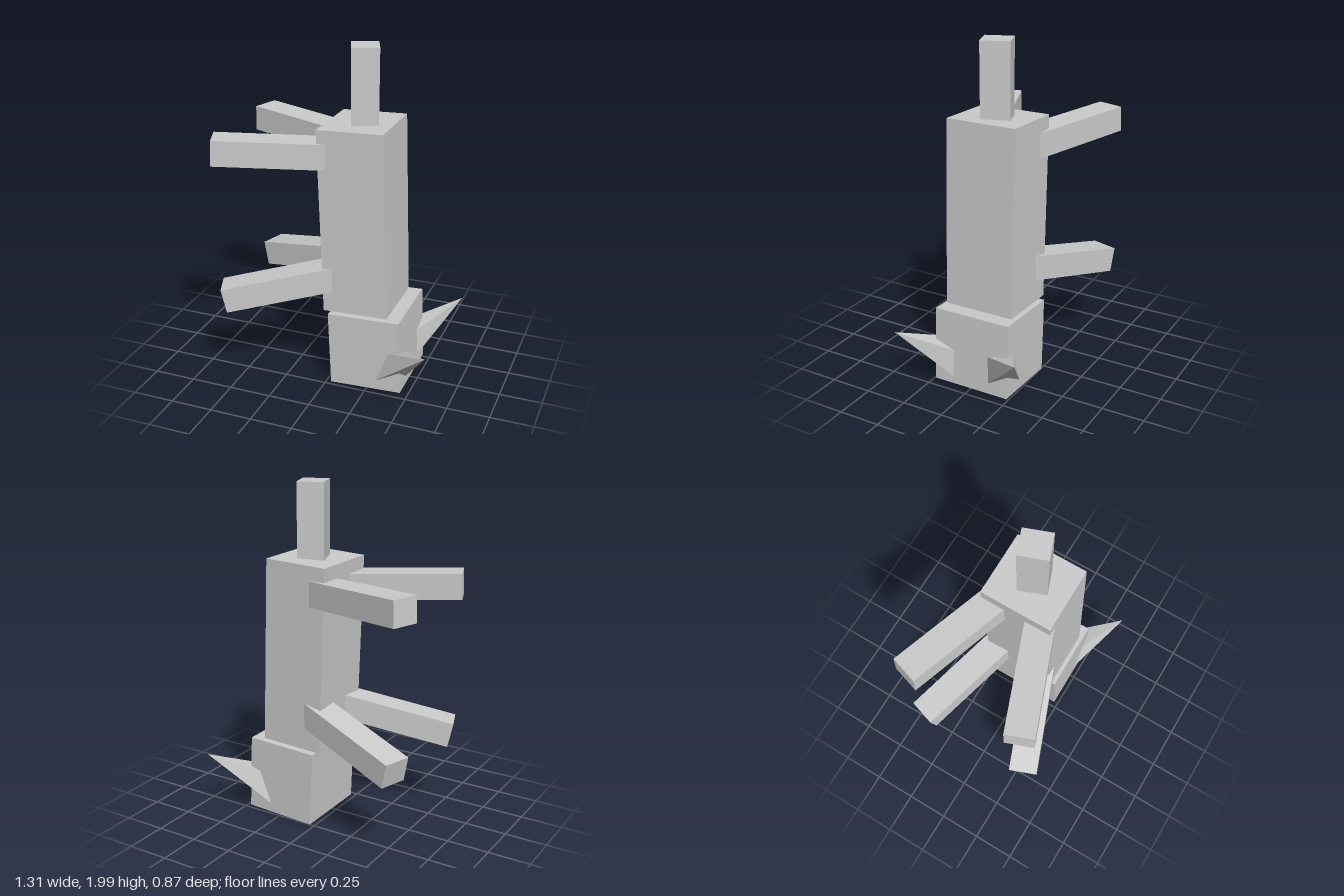
import * as THREE from 'three';
import { ConvexGeometry } from 'three/addons/geometries/ConvexGeometry.js';

const material = new THREE.MeshStandardMaterial({ color: 0xcccccc, flatShading: true });
const v = (x, y, z) => new THREE.Vector3(x, y, z);
const MID_Z = -0.013;

export function createModel() {
  const group = new THREE.Group();

  function add(name, geometry) {
    const mesh = new THREE.Mesh(geometry, material);
    mesh.name = name;
    group.add(mesh);
    return mesh;
  }

  function block(name, size, position, yaw = 0, tilt = 0) {
    const mesh = add(name, new THREE.BoxGeometry(...size));
    mesh.position.set(...position);
    mesh.rotation.set(0, yaw, tilt);
  }

  // Square beam running from its free end into the body
  function leg(name, outer, inner) {
    const mesh = add(name, new THREE.BoxGeometry(0.165, 0.148, outer.distanceTo(inner)));
    mesh.position.copy(outer).lerp(inner, 0.5);
    mesh.lookAt(outer);
  }

  // Four-sided spike wrapped around a vertical edge of the head
  function ear(name, tip, side, lift) {
    const base = [
      v(0.385, 0.27, MID_Z + side * 0.238),
      v(0.31, 0.075, MID_Z + side * 0.238),
      v(0.458, 0.24 + lift, MID_Z + side * 0.122),
      v(0.46, 0.075 + lift, MID_Z + side * 0.122),
    ].map((p) => p.sub(tip).multiplyScalar(1.08).add(tip));
    add(name, new ConvexGeometry([tip, ...base]));
  }

  // Upside-down figure: head at the bottom, tail at the top
  block('body', [0.385, 1.096, 0.428], [0.148, 1.02, MID_Z], 0, 0.037);
  block('head', [0.43, 0.45, 0.475], [0.235, 0.24, MID_Z], 0, 0.044);
  block('tail', [0.154, 0.47, 0.166], [0.141, 1.765, -0.015], 0.36);

  // Hind legs high on the body, front legs near the head
  leg('hindLegLeft', v(-0.625, 1.43, 0.35), v(0.1, 1.4, 0.07));
  leg('hindLegRight', v(-0.628, 1.43, -0.352), v(0.1, 1.4, -0.12));
  leg('frontLegLeft', v(-0.587, 0.53, 0.35), v(0.1, 0.69, 0.085));
  leg('frontLegRight', v(-0.587, 0.53, -0.352), v(0.1, 0.69, -0.133));

  ear('earLeft', v(0.642, 0.372, 0.373), 1, 0);
  ear('earRight', v(0.652, 0.375, -0.41), -1, 0.02);

  return group;
}
